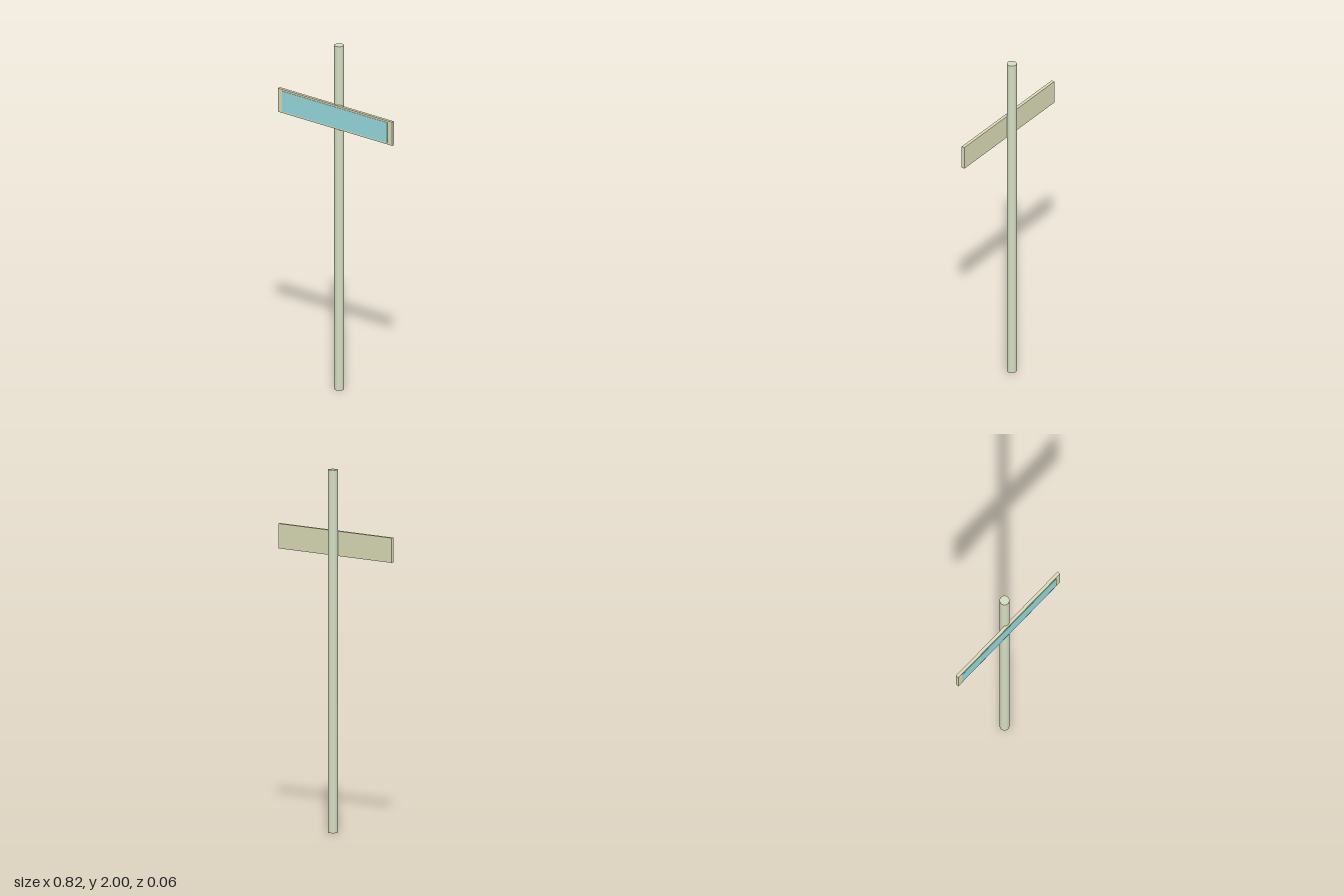
import * as THREE from 'three';

const material = (color) => new THREE.MeshStandardMaterial({ color });

export function createModel() {
  const group = new THREE.Group();
  const add = (name, geometry, color, x, y, z) => {
    const mesh = new THREE.Mesh(geometry, material(color));
    mesh.name = name;
    mesh.position.set(x, y, z);
    group.add(mesh);
  };

  // Round post, full height
  add('post', new THREE.CylinderGeometry(0.027, 0.027, 2, 32), 0xd2dcc0, 0, 1, -0.007);

  // Sign board fixed across the front of the post
  add('signBoard', new THREE.BoxGeometry(0.82, 0.137, 0.018), 0xdadab6, 0, 1.592, 0.019);

  // Thin blue face, slightly proud of the board
  add('signFace', new THREE.BoxGeometry(0.754, 0.117, 0.003), 0x96dade, 0, 1.592, 0.0285);

  return group;
}
